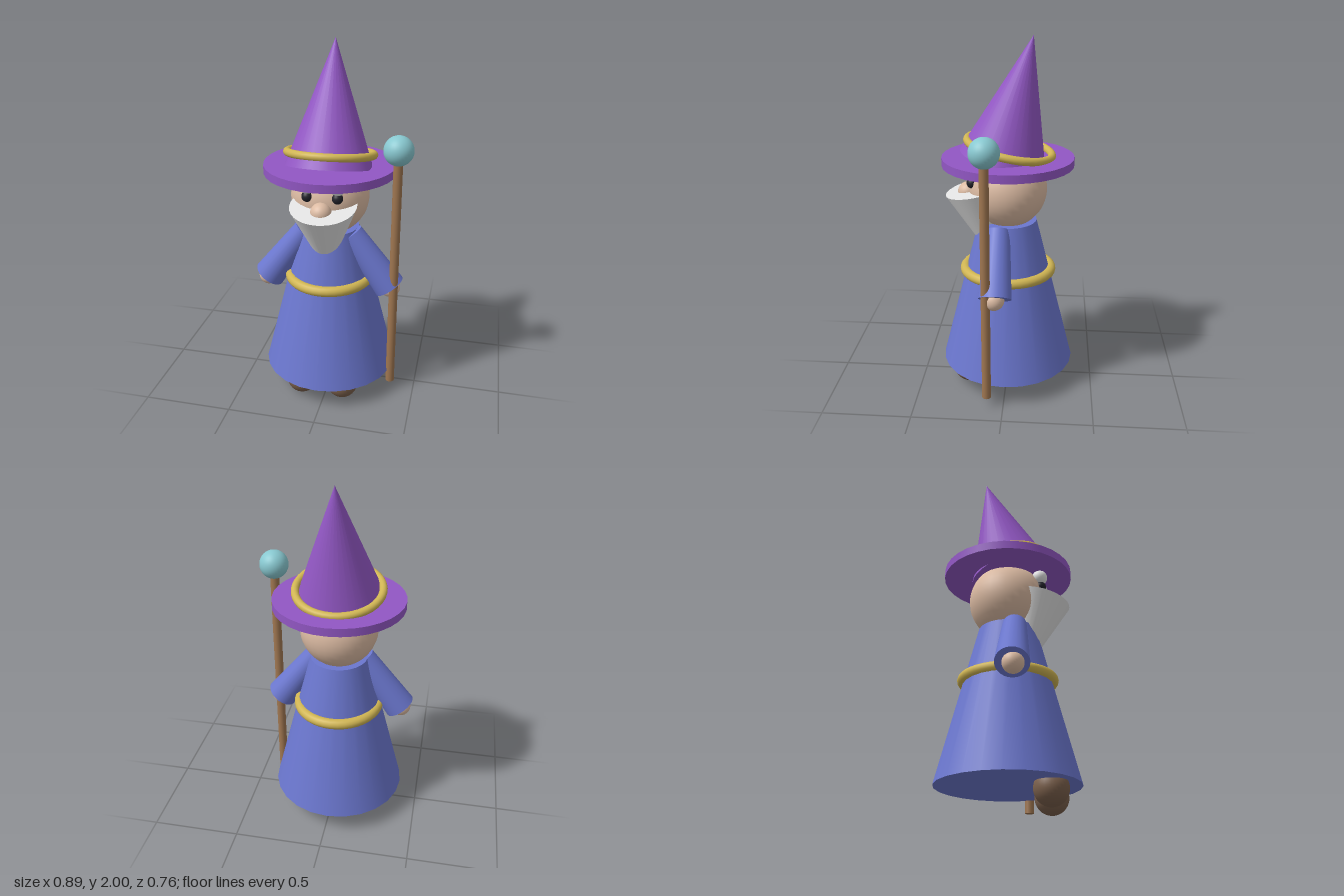
import * as THREE from 'three';

const mat = (name, color) => {
  const m = new THREE.MeshStandardMaterial({ color });
  m.name = name;
  return m;
};

export function createModel() {
  const robeBlue = mat('robe blue', 0x6b77cf);
  const hatPurple = mat('hat purple', 0x9257c4);
  const gold = mat('gold', 0xd0b553);
  const skin = mat('skin', 0xdcbba3);
  const white = mat('hair white', 0xe4e4e4);
  const black = mat('eye black', 0x22222a);
  const wood = mat('wood', 0x9f7650);
  const leather = mat('shoe brown', 0x7a5f4b);
  const crystal = mat('crystal blue', 0x88c8d0);

  const model = new THREE.Group();
  model.name = 'wizard';
  const body = new THREE.Group();
  body.name = 'body';
  body.position.x = -0.018;
  model.add(body);

  const add = (parent, name, geometry, material, x, y, z) => {
    const mesh = new THREE.Mesh(geometry, material);
    mesh.name = name;
    mesh.position.set(x, y, z);
    parent.add(mesh);
    return mesh;
  };
  const ball = (parent, name, r, material, x, y, z) =>
    add(parent, name, new THREE.SphereGeometry(r, 32, 20), material, x, y, z);

  // Robe and belt
  add(body, 'robe', new THREE.CylinderGeometry(0.162, 0.381, 0.865, 24), robeBlue, 0, 0.5575, 0);
  const belt = add(body, 'belt', new THREE.TorusGeometry(0.235, 0.029, 14, 40), gold, 0, 0.69, 0);
  belt.rotation.x = Math.PI / 2;
  belt.scale.set(0.98, 1.04, 1);

  // Head, nose and beard
  ball(body, 'head', 0.217, skin, 0, 1.17, 0);
  ball(body, 'nose', 0.058, skin, 0, 1.145, 0.222);
  const beard = add(body, 'beard', new THREE.CylinderGeometry(0.182, 0.073, 0.278, 32), white, 0, 1.033, 0.14);
  beard.rotation.x = 0.22;

  // Paired parts, mirrored about the body's centre
  for (const s of [-1, 1]) {
    const side = s > 0 ? 'left' : 'right';
    ball(body, side + 'Eye', 0.03, black, s * 0.082, 1.222, 0.19);
    ball(body, side + 'Eyebrow', 0.043, white, s * 0.082, 1.28, 0.185);
    ball(body, side + 'Shoe', 0.09, leather, s * 0.119, 0.091, 0.22);
    ball(body, side + 'Hand', 0.057, skin, s * 0.357, 0.657, 0.05);

    // Sleeve widens from shoulder to wrist
    const shoulder = new THREE.Vector3(s * 0.129, 0.968, 0.045);
    const wrist = new THREE.Vector3(s * 0.352, 0.66, 0.045);
    const axis = shoulder.clone().sub(wrist);
    const mid = shoulder.clone().add(wrist).multiplyScalar(0.5);
    const sleeve = add(body, side + 'Sleeve',
      new THREE.CylinderGeometry(0.066, 0.09, axis.length(), 24), robeBlue, mid.x, mid.y, mid.z);
    sleeve.quaternion.setFromUnitVectors(new THREE.Vector3(0, 1, 0), axis.normalize());
  }

  // Hat: flat brim, leaning cone and tilted band
  add(body, 'hatBrim', new THREE.CylinderGeometry(0.363, 0.363, 0.046, 32), hatPurple, 0, 1.333, 0);
  const cone = add(body, 'hatCone', new THREE.ConeGeometry(0.24, 0.676, 32), hatPurple, 0, 1.668, -0.052);
  cone.rotation.x = -0.24;
  const band = add(body, 'hatBand', new THREE.TorusGeometry(0.235, 0.022, 14, 40), gold, 0, 1.405, -0.01);
  band.rotation.x = Math.PI / 2 - 0.2;

  // Staff with crystal orb
  add(model, 'staff', new THREE.CylinderGeometry(0.025, 0.025, 1.4, 16), wood, 0.363, 0.758, 0.093);
  ball(model, 'staffOrb', 0.08, crystal, 0.363, 1.473, 0.091);

  return model;
}
